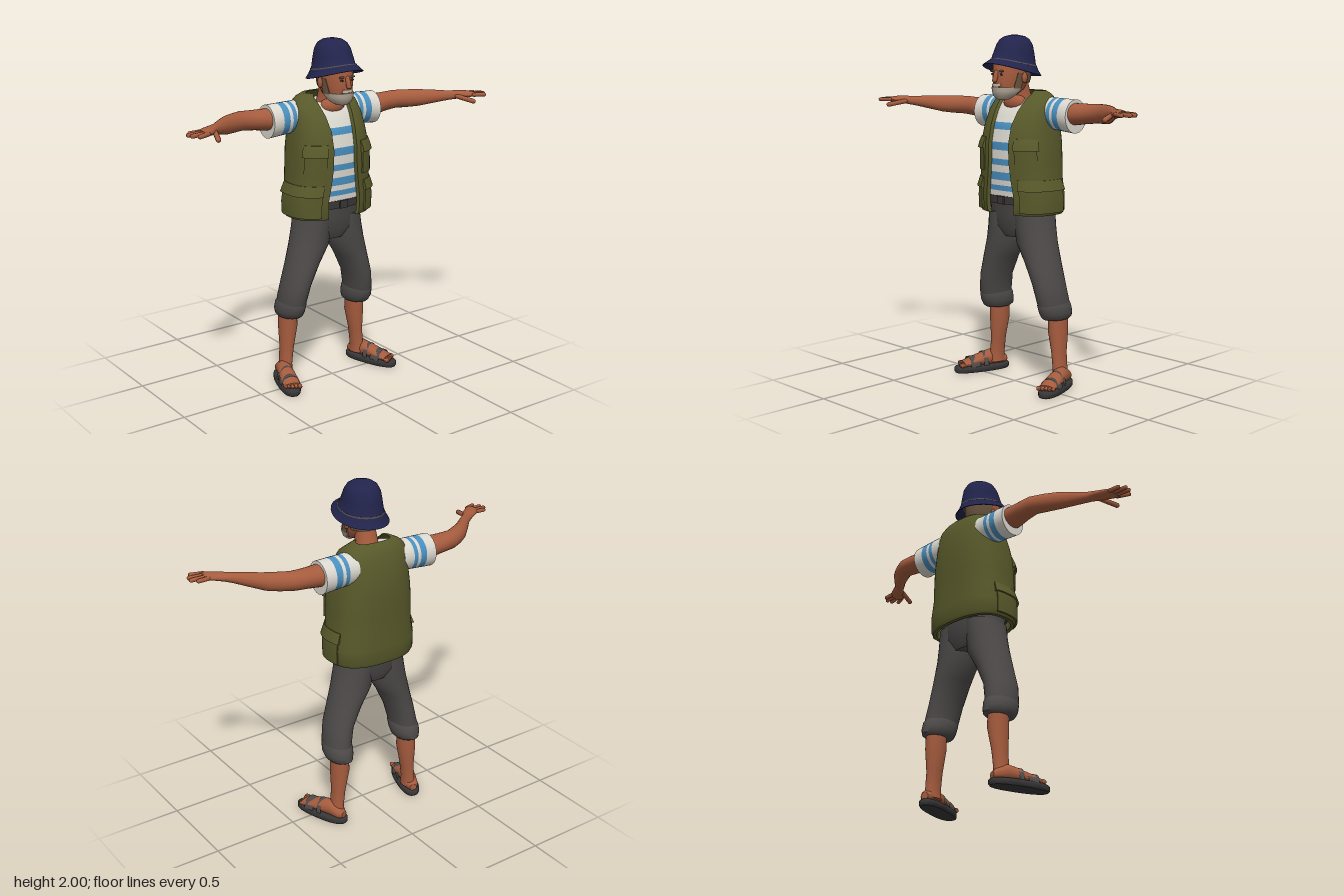
import * as THREE from 'three';
import { toCreasedNormals } from 'three/addons/utils/BufferGeometryUtils.js';

const paint = (name, color) => {
  const m = new THREE.MeshStandardMaterial({ color, side: THREE.DoubleSide });
  m.name = name;
  return m;
};
const M = {
  skin: paint('skin', 0xa65c3e), vest: paint('olive cloth', 0x58592a), hat: paint('navy cloth', 0x22244c),
  trousers: paint('grey cloth', 0x4e4a4a), leather: paint('dark leather', 0x3c3736), white: paint('shirt white', 0xdcd9d0),
  blue: paint('shirt blue', 0x4a90c0), beard: paint('grey beard', 0xb5a898), hair: paint('hair', 0x6e5640),
  sole: paint('sandal', 0x383637),
};

// Skin over a list of closed rings, with strip caps on both ends
function loft(rings) {
  const n = rings[0].length, pos = rings.flat(2), idx = [];
  const quad = (a, b, c, d) => idx.push(a, b, c, a, c, d);
  for (let i = 0; i < rings.length - 1; i++)
    for (let j = 0; j < n; j++) {
      const k = (j + 1) % n;
      quad(i * n + j, i * n + k, (i + 1) * n + k, (i + 1) * n + j);
    }
  const top = (rings.length - 1) * n;
  for (let j = 0; j < n / 2 - 1; j++) {
    quad(n - 1 - j, n - 2 - j, j + 1, j);
    quad(top + j, top + j + 1, top + n - 2 - j, top + n - 1 - j);
  }
  const g = new THREE.BufferGeometry();
  g.setAttribute('position', new THREE.Float32BufferAttribute(pos, 3));
  g.setIndex(idx);
  return g;
}
const pw = (v, p) => Math.sign(v) * Math.abs(v) ** p;
const round = (f, n = 28) => Array.from({ length: n }, (_, j) => f(Math.sin(j / n * Math.PI * 2), Math.cos(j / n * Math.PI * 2)));
// Upright forms: rows of [y, cx, cz, rx, rz]
const upright = (rows, p = 1) => loft(rows.map(([y, cx, cz, rx, rz]) =>
  round((s, c) => [cx + rx * pw(s, p), y, cz + rz * pw(c, p)])));
// Sideways forms: rows of [x, cy, cz, ry, rz]
const sideways = rows => loft(rows.map(([x, cy, cz, ry, rz]) => round((s, c) => [x, cy + ry * c, cz + rz * s])));
// Forward forms: rows of [z, cy, rx, ry]
const forward = rows => loft(rows.map(([z, cy, rx, ry]) => round((s, c) => [-rx * s, cy + ry * c, z])));
// Curved sheet with thickness: rows of [y, rx, cz, rz, startAngle, endAngle]
const sheet = (rows, t, p = 1, n = 32) => loft(rows.map(([y, rx, cz, rz, a0, a1]) => {
  const arc = d => Array.from({ length: n }, (_, j) => {
    const a = a0 + (a1 - a0) * j / (n - 1);
    return [(rx - d) * pw(Math.sin(a), p), y, cz + (rz - d) * pw(Math.cos(a), p)];
  });
  return [...arc(0), ...arc(t).reverse()];
}));
const ball = (x, y, z, a, b, c) => new THREE.SphereGeometry(1, 16, 12).scale(a, b, c).translate(x, y, z);
function capsule(a, b, r) {
  const A = new THREE.Vector3(...a), B = new THREE.Vector3(...b), d = B.clone().sub(A), len = d.length();
  return new THREE.CapsuleGeometry(r, len, 4, 10)
    .applyQuaternion(new THREE.Quaternion().setFromUnitVectors(new THREE.Vector3(0, 1, 0), d.normalize()))
    .translate(...A.add(B).multiplyScalar(0.5).toArray());
}
function mirrored(g) {
  const m = g.clone().scale(-1, 1, 1);
  for (const a of Object.values(m.attributes))
    for (let i = 0; i < a.count; i += 3)
      for (let k = 0; k < a.itemSize; k++) {
        const u = i * a.itemSize + k, v = (i + 2) * a.itemSize + k;
        [a.array[u], a.array[v]] = [a.array[v], a.array[u]];
      }
  return m;
}

// Vest outline: [y, rx, cz, rz, half width of the front opening]
const BODY = [
  [1.0, .25, -.06, .175, .1], [1.02, .262, -.06, .183, .105], [1.1, .263, -.06, .185, .108], [1.2, .248, -.055, .185, .092],
  [1.3, .243, -.055, .188, .08], [1.4, .238, -.055, .188, .078], [1.5, .222, -.062, .175, .08], [1.58, .213, -.075, .148, .09],
  [1.64, .198, -.09, .115, .1], [1.67, .165, -.1, .088, .105], [1.69, .125, -.1, .068, .1]];
const P = 0.8;
function bodyAt(y) {
  const i = Math.max(1, BODY.findIndex(r => r[0] >= y)), a = BODY[i - 1], b = BODY[i];
  return a.map((v, k) => THREE.MathUtils.lerp(v, b[k], (y - a[0]) / (b[0] - a[0])));
}

export function createModel() {
  const root = new THREE.Group(), man = new THREE.Group();
  root.name = 'man'; man.name = 'figure';
  man.rotation.y = Math.PI / 2;
  root.add(man);
  const add = (name, geo, mat) => {
    const g = toCreasedNormals(geo, 0.9);
    const mesh = new THREE.Mesh(g, mat);
    mesh.name = name;
    man.add(mesh);
    return g;
  };
  const pair = (name, geo, mat) => {
    const mesh = new THREE.Mesh(mirrored(add(name + 'Left', geo, mat)), mat);
    mesh.name = name + 'Right';
    man.add(mesh);
  };

  // Vest with open front and pockets
  add('vest', sheet(BODY.map(([y, rx, cz, rz, w]) => {
    const o = Math.asin(Math.min(1, w / rx) ** (1 / P));
    return [y, rx, cz, rz, o, Math.PI * 2 - o];
  }), .02, P, 48), M.vest);
  const patch = (y0, y1, a0, a1, e0, e1) => sheet([[y0, e0], [(y0 + y1) / 2, (e0 + e1) / 2], [y1, e1]].map(([y, e]) => {
    const [, rx, cz, rz] = bodyAt(y);
    return [y, rx + e, cz, rz + e, a0, a1];
  }), .03, P, 16);
  pair('lowerPocket', patch(1.015, 1.16, .5, 1.85, .01, .008), M.vest);
  pair('lowerPocketFlap', patch(1.14, 1.2, .48, 1.9, .018, .004), M.vest);
  pair('chestPocket', patch(1.24, 1.38, .42, 1.1, .006, .008), M.vest);
  pair('chestPocketFlap', patch(1.365, 1.43, .4, 1.15, .018, .004), M.vest);

  // Striped shirt: alternating bands, white first
  const cuts = [1.08, 1.13, 1.16, 1.19, 1.235, 1.275, 1.31, 1.36, 1.405, 1.475, 1.515, 1.645];
  for (let i = 0; i < cuts.length - 1; i++) {
    const rows = [0, .25, .5, .75, 1].map(t => {
      const y = THREE.MathUtils.lerp(cuts[i], cuts[i + 1], t), [, rx, cz, rz] = bodyAt(y);
      return [y, 0, cz, rx - .025, rz - .022];
    });
    add('shirtBand', upright(rows, P), i % 2 ? M.blue : M.white);
  }
  // Sleeves
  const bands = [.15, .215, .24, .26, .3, .365];
  for (let i = 0; i < 5; i++) {
    pair('sleeveBand', sideways([bands[i], bands[i + 1]].map(x => {
      const t = (x - .15) / .215;
      return [x, 1.568 - .012 * t, -.113, .088 + .006 * t, .084 + .003 * t];
    })), i % 2 ? M.blue : M.white);
  }

  // Arms and hands
  pair('arm', sideways([
    [.3, 1.57, -.11, .062, .07], [.38, 1.57, -.112, .06, .068], [.45, 1.575, -.117, .055, .061], [.53, 1.58, -.118, .053, .053],
    [.6, 1.582, -.085, .052, .054], [.66, 1.585, -.05, .049, .05], [.72, 1.593, .0, .04, .044], [.79, 1.601, .06, .028, .035],
    [.83, 1.606, .092, .024, .044], [.88, 1.61, .125, .02, .05], [.915, 1.61, .143, .014, .046]]), M.skin);
  [[.1, .968, .105], [.127, .995, .137], [.153, .99, .17], [.178, .965, .205]].forEach(([z, tx, tz]) =>
    pair('finger', capsule([.895, 1.61, z], [tx - .008, 1.608, tz - .004], .012), M.skin));
  pair('thumb', capsule([.82, 1.6, .115], [.86, 1.582, .215], .014), M.skin);

  // Trousers and belt
  add('trouserSeat', upright([[.86, 0, -.06, .11, .1], [.92, 0, -.06, .2, .13], [1.0, 0, -.06, .2, .142],
    [1.07, 0, -.058, .195, .155]], .9), M.trousers);
  pair('trouserLeg', upright([[.42, .238, -.09, .066, .09], [.5, .235, -.075, .074, .11], [.6, .215, -.062, .079, .11],
    [.72, .17, -.06, .092, .116], [.83, .122, -.06, .115, .122], [.92, .108, -.06, .106, .13], [1.0, .1, -.06, .098, .138]]), M.trousers);
  pair('trouserCuff', upright([[.4, .238, -.1, .062, .088], [.41, .238, -.1, .071, .102], [.44, .239, -.092, .08, .11],
    [.48, .236, -.082, .079, .112], [.505, .235, -.076, .07, .1]]), M.trousers);
  add('belt', upright([[1.055, 0, -.06, .205, .166], [1.1, 0, -.06, .205, .168]], P), M.leather);
  add('buckle', new THREE.BoxGeometry(.05, .045, .012).translate(0, 1.078, .11), M.sole);

  // Lower legs, feet and sandals
  pair('shin', upright([[.05, .262, -.11, .04, .055], [.1, .26, -.11, .034, .05], [.2, .25, -.11, .038, .05],
    [.33, .24, -.112, .053, .064], [.45, .24, -.11, .05, .062]]), M.skin);
  const onFoot = g => g.rotateY(.33).translate(.25, 0, -.19);
  pair('foot', onFoot(forward([[.015, .055, .022, .02], [.04, .06, .038, .035], [.1, .075, .042, .05], [.16, .07, .045, .042],
    [.24, .058, .05, .028], [.3, .048, .048, .016]])), M.skin);
  for (let i = 0; i < 5; i++)
    pair('toe', onFoot(ball(-.04 + i * .02, .048, .315 - .005 * i, i ? .01 : .013, .013, .02)), M.skin);
  pair('sandalSole', onFoot(upright([[0, 0, .175, .055, .17], [.008, 0, .175, .061, .176], [.03, 0, .175, .061, .176],
    [.036, 0, .175, .056, .17]], .8)), M.sole);
  [[.235, .062, .056, .058], [.165, .03, .054, .08]].forEach(([z, len, rx, ry]) =>
    pair('sandalStrap', onFoot(new THREE.CylinderGeometry(1, 1, len, 20, 1, true, Math.PI / 2, Math.PI)
      .rotateX(Math.PI / 2).scale(rx, ry, 1).translate(0, .033, z)), M.trousers));

  // Neck and head
  add('neck', upright([[1.58, 0, -.06, .085, .08], [1.66, 0, -.042, .062, .066], [1.72, 0, -.022, .06, .068],
    [1.78, 0, -.01, .06, .065]]), M.skin);
  add('upperChest', ball(0, 1.625, 0, .078, .05, .046), M.skin);
  add('head', upright([[1.655, 0, .08, .03, .035], [1.67, 0, .07, .058, .065], [1.7, 0, .045, .075, .095],
    [1.75, 0, .03, .086, .114], [1.8, 0, .025, .091, .12], [1.87, 0, .02, .088, .115]]), M.skin);
  add('beard', sheet([[1.645, .035, .08, .045, -1.7, 1.7], [1.665, .064, .07, .075, -1.7, 1.7], [1.69, .078, .052, .1, -1.75, 1.75],
    [1.712, .084, .042, .112, -1.75, 1.75]], .035), M.beard);
  add('moustache', sheet([[1.717, .086, .042, .112, -.45, .45], [1.733, .088, .04, .11, -.35, .35]], .02), M.beard);
  add('mouth', sheet([[1.711, .085, .042, .114, -.3, .3], [1.718, .085, .042, .114, -.3, .3]], .02), M.hair);
  pair('sideburn', sheet([[1.705, .085, .042, .1, 1.15, 1.7], [1.79, .094, .03, .116, 1.3, 1.75]], .02), M.hair);
  add('hair', sheet([[1.735, .087, .025, .115, 1.9, 4.38], [1.76, .093, .022, .12, 1.75, 4.53],
    [1.82, .095, .02, .122, 1.65, 4.63]], .02), M.hair);
  add('nose', capsule([0, 1.795, .142], [0, 1.752, .156], .014), M.skin);
  pair('ear', ball(.094, 1.765, .015, .012, .03, .02), M.skin);
  pair('eye', ball(.034, 1.784, .137, .013, .006, .004), M.sole);
  pair('eyebrow', ball(.035, 1.802, .138, .02, .006, .007), M.hair);

  // Bucket hat, lower at the back
  const tilted = rows => loft(rows.map(([y, cz, rx, rz, k]) => round((s, c) => {
    const z = cz + rz * c;
    return [rx * s, y + k * z - .012 * s * s * (k / .22), z];
  }, 40)));
  add('hat', tilted([[1.86, .01, .092, .115, .2], [1.8, .02, .146, .175, .22], [1.802, .02, .15, .18, .22],
    [1.825, .016, .134, .157, .2], [1.855, .008, .115, .134, .15], [1.9, .004, .107, .122, .08], [1.945, 0, .097, .108, .03],
    [1.975, 0, .08, .088, 0], [1.992, 0, .055, .06, 0], [2, 0, .02, .02, 0]]), M.hat);
  add('hatBand', tilted([[1.843, .011, .1235, .1435, .17], [1.85, .01, .12, .1395, .16]]), M.trousers);
  return root;
}
